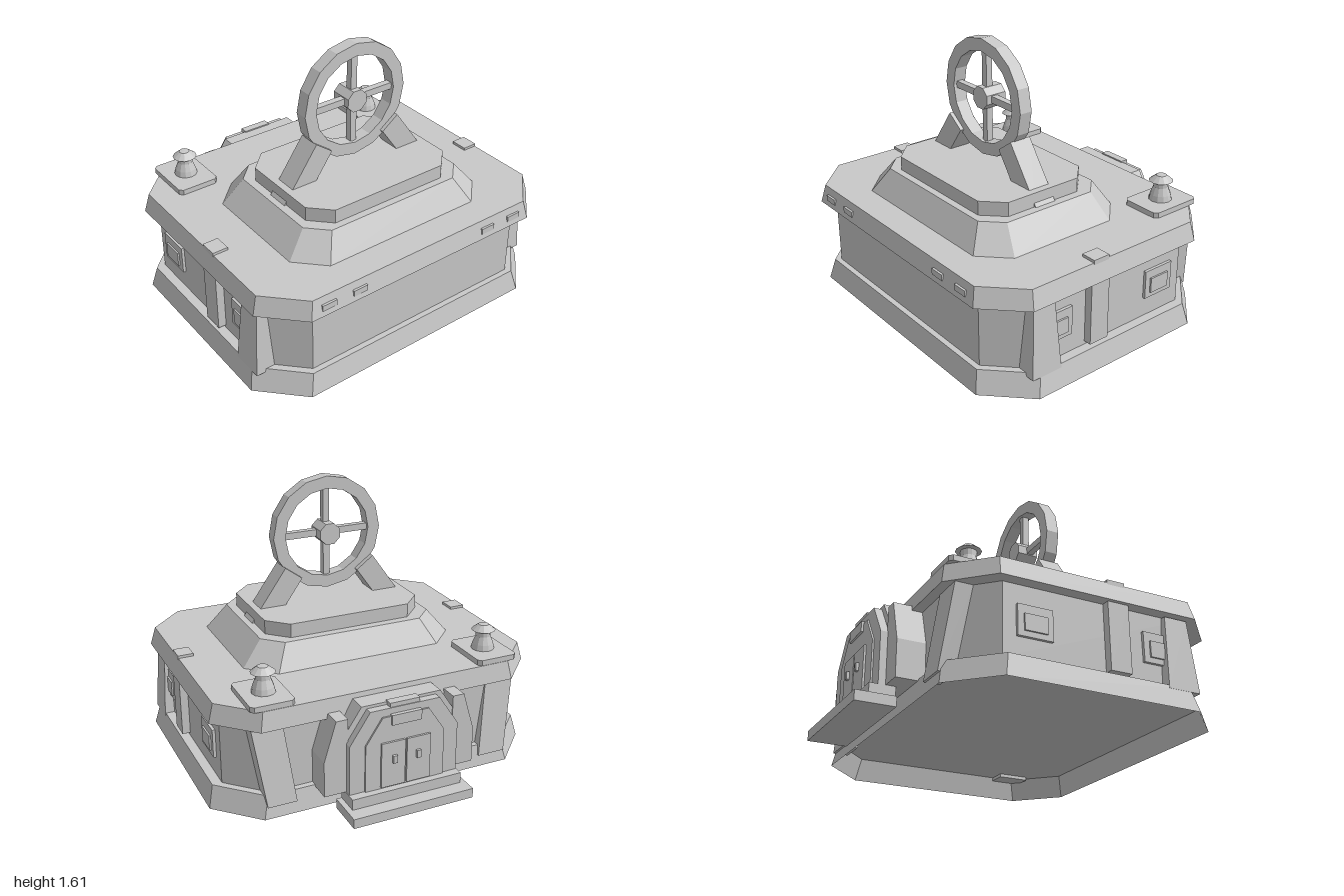
import * as THREE from 'three';

// Double-sided because the base is an open shell
const grey = new THREE.MeshStandardMaterial({ color: 0xc8c8c8, side: THREE.DoubleSide });
grey.name = 'grey';

// Faceted mesh from any geometry
function add(parent, name, geometry, x = 0, y = 0, z = 0) {
  const g = geometry.index ? geometry.toNonIndexed() : geometry;
  g.computeVertexNormals();
  const mesh = new THREE.Mesh(g, grey);
  mesh.name = name;
  mesh.position.set(x, y, z);
  parent.add(mesh);
  return mesh;
}

// Box given by its limits
function box(parent, name, x0, x1, y0, y1, z0, z1) {
  return add(parent, name, new THREE.BoxGeometry(Math.abs(x1 - x0), y1 - y0, Math.abs(z1 - z0)),
    (x0 + x1) / 2, (y0 + y1) / 2, (z0 + z1) / 2);
}

// Horizontal rectangle outline with cut corners, shifted sideways by dx
function ring(y, x, z0, z1, c = 0, dx = 0) {
  const p = c
    ? [[x, z1 - c], [x - c, z1], [c - x, z1], [-x, z1 - c], [-x, z0 + c], [c - x, z0], [x - c, z0], [x, z0 + c]]
    : [[x, z1], [-x, z1], [-x, z0], [x, z0]];
  return p.map(([px, pz]) => [px + dx, y, pz]);
}

// Solid between a lower and an upper outline, optionally open below
function loft(low, high, open = false) {
  const v = [];
  const n = low.length;
  for (let i = 0; i < n; i++) {
    const j = (i + 1) % n;
    v.push(...low[j], ...low[i], ...high[i], ...low[j], ...high[i], ...high[j]);
  }
  for (let i = 1; i < n - 1; i++) {
    v.push(...high[0], ...high[i + 1], ...high[i]);
    if (!open) v.push(...low[0], ...low[i], ...low[i + 1]);
  }
  const g = new THREE.BufferGeometry();
  g.setAttribute('position', new THREE.Float32BufferAttribute(v, 3));
  return g;
}

// Upright outline extruded from z0 to z1, with an optional hole
function plate(points, z0, z1, hole) {
  const toV = (list) => list.map(([x, y]) => new THREE.Vector2(x, y));
  const shape = new THREE.Shape(toV(points));
  if (hole) shape.holes.push(new THREE.Path(toV(hole)));
  return new THREE.ExtrudeGeometry(shape, { depth: z1 - z0, bevelEnabled: false }).translate(0, 0, z0);
}

const circle = (r, n) => Array.from({ length: n }, (_, i) => {
  const a = (i / n) * Math.PI * 2;
  return [r * Math.cos(a), r * Math.sin(a)];
});

// Arch outline with cut top corners
const arch = (w, y0, y1, c) => [[-w, y0], [w, y0], [w, y1 - c * 1.5], [w - c, y1], [c - w, y1], [-w, y1 - c * 1.5]];

function createModel() {
  const model = new THREE.Group();
  model.name = 'bunker';

  // Main building on an open base shell
  add(model, 'base', loft(ring(0, 1, -0.66, 0.925, 0.235), ring(0.13, 0.97, -0.635, 0.895, 0.235), true));
  add(model, 'walls', loft(ring(0.13, 0.915, -0.6, 0.862, 0.2), ring(0.53, 0.915, -0.6, 0.862, 0.2)));
  add(model, 'roofSlab', loft(ring(0.53, 0.985, -0.66, 0.935, 0.215), ring(0.64, 0.955, -0.64, 0.91, 0.205)));
  add(model, 'roofSlope', loft(ring(0.64, 0.66, -0.25, 0.735, 0.155), ring(0.785, 0.54, -0.165, 0.645, 0.11)));
  add(model, 'roofCap', loft(ring(0.785, 0.49, -0.115, 0.603, 0.115), ring(0.868, 0.49, -0.115, 0.603, 0.115)));

  // Wheel on the roof
  const wheel = new THREE.Group();
  wheel.name = 'wheel';
  wheel.position.set(0, 1.27, 0.247);
  model.add(wheel);
  add(wheel, 'rim', plate(circle(0.342, 16), -0.039, 0.039, circle(0.268, 16)));
  box(wheel, 'uprightSpoke', -0.02, 0.02, -0.27, 0.27, -0.02, 0.02);
  box(wheel, 'levelSpoke', -0.27, 0.27, -0.02, 0.02, -0.02, 0.02);
  add(wheel, 'hub', new THREE.CylinderGeometry(0.068, 0.068, 0.13, 8)
    .rotateY(Math.PI / 8).rotateX(Math.PI / 2), 0, 0, -0.013);

  for (const s of [-1, 1]) {
    // Slanted wheel supports
    const leg = [[0.505, 0.787], [0.285, 1.097], [0.18, 1.02], [0.345, 0.787]];
    add(model, 'wheelSupport', plate(leg.map(([x, y]) => [s * x, y]), 0.175, 0.31));

    // Chimneys on cut-corner plates
    add(model, 'chimneyPlate', loft(ring(0.64, 0.126, -0.165, 0.165, 0.02),
      ring(0.672, 0.126, -0.165, 0.165, 0.02)), s * 0.687, 0, -0.472);
    const profile = [[0, 0.665], [0.068, 0.67], [0.06, 0.705], [0.043, 0.75], [0.043, 0.785],
      [0.07, 0.787], [0.03, 0.82], [0, 0.822]];
    add(model, 'chimney', new THREE.LatheGeometry(
      profile.map(([r, y]) => new THREE.Vector2(r, y)), 12), s * 0.683, 0, -0.473);

    // Tapered buttresses near the front corners of the sides
    const side = add(model, 'sideButtress',
      loft(ring(0.11, 0.096, -0.1, 0.018), ring(0.525, 0.07, -0.08, -0.012)), s * 0.958, 0, 0.62);
    side.rotation.y = s * Math.PI / 2;

    // Leaning buttresses near the back corners
    add(model, 'backButtress', loft(ring(0.07, 0.085, -0.66, -0.57, 0, s * 0.66),
      ring(0.535, 0.09, -0.605, -0.505, 0, s * 0.72)));

    // Side ribs, roof clips and framed wall panels
    box(model, 'sideRib', s * 0.9, s * 0.962, 0.15, 0.535, 0.185, 0.31);
    box(model, 'roofClip', s * 0.865, s * 0.958, 0.615, 0.656, 0.19, 0.295);
    for (const z of [-0.225, 0.515]) {
      box(model, 'panelFrame', s * 0.905, s * 0.932, 0.25, 0.42, z - 0.1, z + 0.1);
      box(model, 'panelCentre', s * 0.925, s * 0.942, 0.28, 0.37, z - 0.065, z + 0.065);
    }

    // Small blocks along the front of the roof
    for (const x of [0.455, 0.655]) {
      box(model, 'roofBlock', s * x - 0.045, s * x + 0.045, 0.562, 0.597, 0.9, 0.933);
    }

    // Entrance wings
    const wing = [[0.32, 0.12], [0.46, 0.12], [0.46, 0.33], [0.39, 0.56], [0.32, 0.56]];
    add(model, 'entranceWing', plate(wing.map(([x, y]) => [s * x, y]), -0.76, -0.59));

    // Doors with handles
    box(model, 'door', s * 0.005, s * 0.15, 0.13, 0.4, -0.822, -0.78);
    box(model, 'doorHandle', s * 0.06, s * 0.085, 0.275, 0.32, -0.838, -0.82);
  }

  // Entrance porch, arch and steps
  add(model, 'porch', plate(arch(0.34, 0.12, 0.612, 0.1), -0.755, -0.59));
  add(model, 'archFrame', plate(arch(0.33, 0.12, 0.595, 0.12), -0.8, -0.75));
  add(model, 'archInner', plate(arch(0.24, 0.12, 0.55, 0.1), -0.81, -0.79));
  box(model, 'keystone', -0.09, 0.09, 0.57, 0.62, -0.795, -0.745);
  box(model, 'sign', -0.09, 0.09, 0.5, 0.56, -0.823, -0.79);
  box(model, 'lowerStep', -0.367, 0.367, 0, 0.057, -0.935, -0.71);
  box(model, 'upperStep', -0.335, 0.335, 0.057, 0.12, -0.85, -0.705);

  return model;
}

export { createModel };
